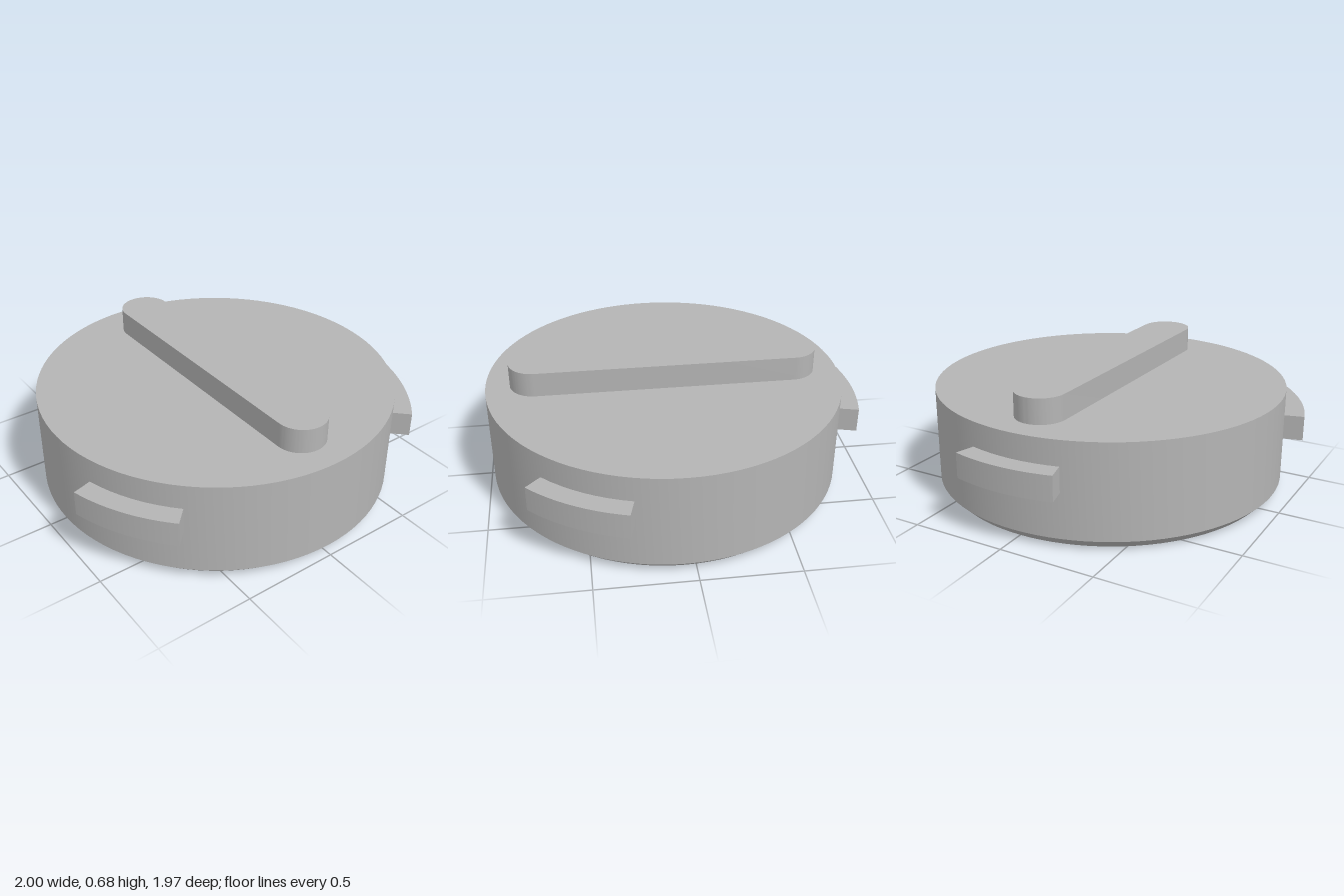
import * as THREE from 'three';
import { toCreasedNormals } from 'three/addons/utils/BufferGeometryUtils.js';

const RADIUS = 0.933;
const CENTER_Z = 0.047;

export function createModel() {
  const model = new THREE.Group();
  model.name = 'bayonetCap';
  const grey = new THREE.MeshStandardMaterial({ color: 0xb4b4b4 });
  grey.name = 'grey';

  const add = (name, geometry) => {
    const mesh = new THREE.Mesh(toCreasedNormals(geometry, 0.5), grey);
    mesh.name = name;
    mesh.position.z = CENTER_Z;
    model.add(mesh);
    return mesh;
  };

  // Extrudes a plan outline upward from y = bottom
  const extrudeUp = (shape, bottom, height) =>
    new THREE.ExtrudeGeometry(shape, { depth: height, bevelEnabled: false, curveSegments: 24 })
      .rotateX(-Math.PI / 2)
      .translate(0, bottom, 0);

  // Disc with a chamfered lower rim and a blind hole underneath
  const profile = [
    [0, 0.41], [0.264, 0.41], [0.264, 0], [RADIUS - 0.05, 0],
    [RADIUS, 0.05], [RADIUS, 0.545], [0, 0.545],
  ].map(([x, y]) => new THREE.Vector2(x, y));
  add('body', new THREE.LatheGeometry(profile, 96));

  // Raised grip bar with rounded ends
  const w = 0.132, straight = 0.807 - w;
  const bar = new THREE.Shape();
  bar.absarc(0, straight, w, 0, Math.PI, false);
  bar.absarc(0, -straight, w, Math.PI, Math.PI * 2, false);
  bar.closePath();
  add('gripBar', extrudeUp(bar, 0.54, 0.135));

  // Three locking lugs, each a 30 degree ring segment; the first is at the back
  const half = Math.PI / 12;
  const lug = new THREE.Shape();
  lug.absarc(0, 0, 1.035, Math.PI / 2 - half, Math.PI / 2 + half, false);
  lug.absarc(0, 0, 0.91, Math.PI / 2 + half, Math.PI / 2 - half, true);
  lug.closePath();
  ['backLug', 'leftLug', 'rightLug'].forEach((name, i) => {
    add(name, extrudeUp(lug, 0.285, 0.13)).rotation.y = -i * Math.PI * 2 / 3;
  });

  return model;
}
